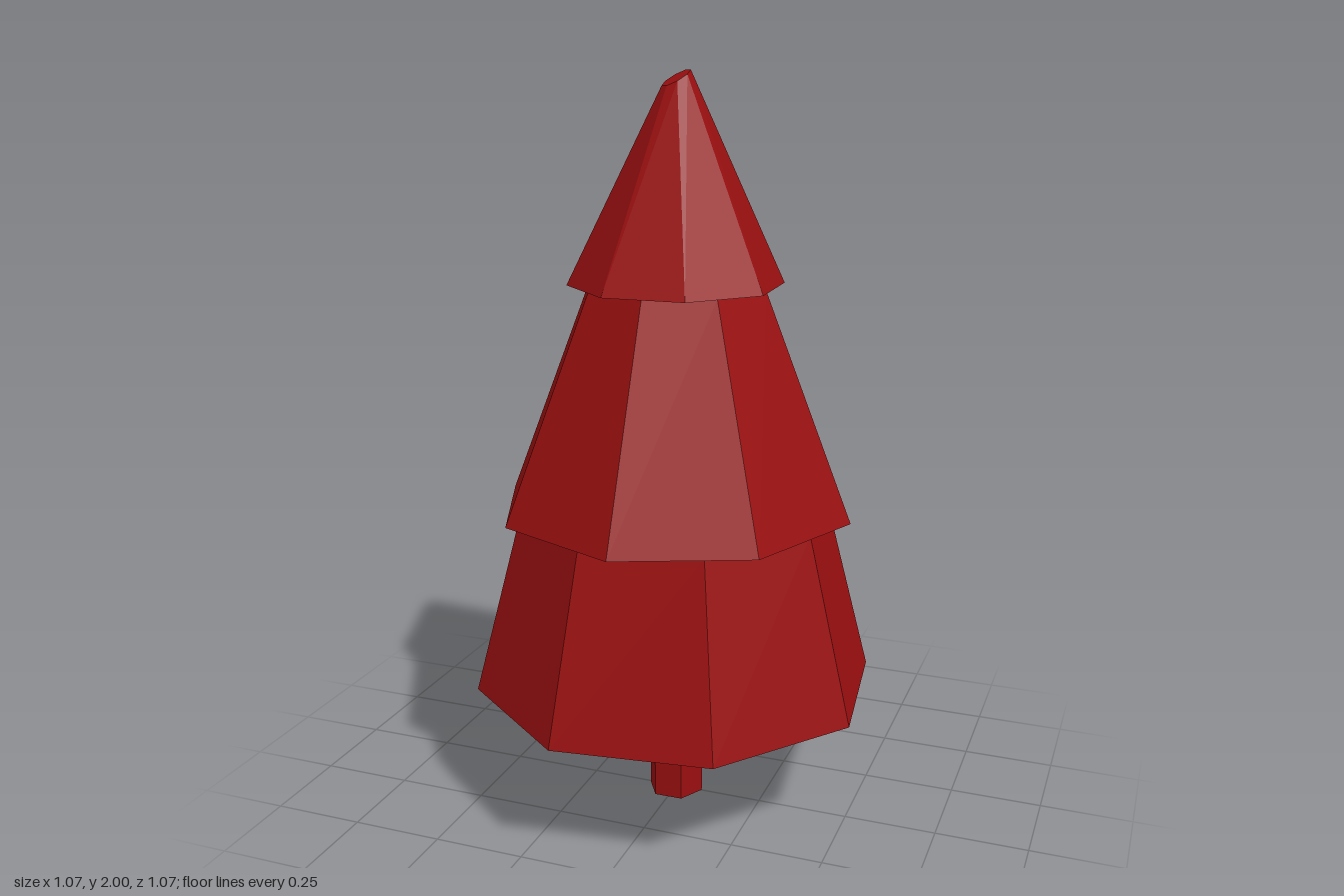
import * as THREE from 'three';

const material = new THREE.MeshStandardMaterial({ color: 0x990f10, flatShading: true });

// One closed, faceted frustum between two heights, turned about the y axis.
function frustum(name, rTop, rBottom, y0, y1, sides, turnDegrees) {
  const geometry = new THREE.CylinderGeometry(rTop, rBottom, y1 - y0, sides);
  geometry.rotateY(THREE.MathUtils.degToRad(turnDegrees));
  geometry.translate(0, (y0 + y1) / 2, 0);
  const mesh = new THREE.Mesh(geometry, material);
  mesh.name = name;
  return mesh;
}

export function createModel() {
  const tree = new THREE.Group();
  tree.name = 'tree';

  // Hexagonal trunk and three eight-sided tiers of foliage
  const trunk = frustum('trunk', 0.078, 0.078, 0, 0.346, 6, 31);
  const lower = frustum('lowerFoliage', 0.423, 0.555, 0.346, 0.849, 8, -15.1);
  const middle = frustum('middleFoliage', 0.245, 0.487, 0.854, 1.457, 8, 0);
  const upper = frustum('upperFoliage', 0.037, 0.286, 1.458, 1.98, 8, -20.2);

  // The tip is cut at a slant, rising towards +x and -z
  const p = upper.geometry.attributes.position;
  for (let i = 0; i < p.count; i++) {
    if (p.getY(i) > 1.9) p.setY(i, 1.98 + 0.4 * (p.getX(i) - p.getZ(i)));
  }
  upper.geometry.computeVertexNormals();

  tree.add(trunk, lower, middle, upper);
  return tree;
}
